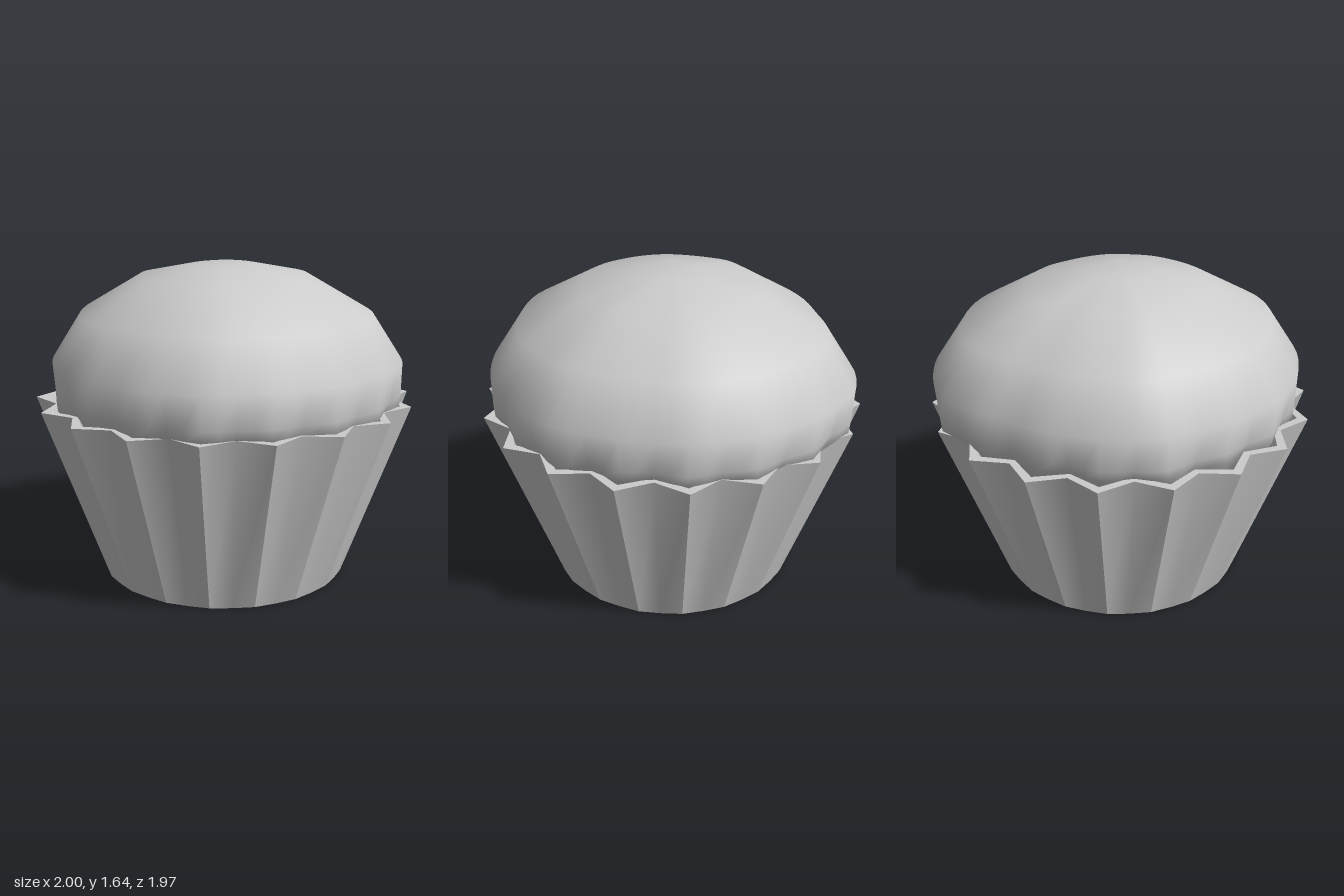
import * as THREE from 'three';
import { mergeGeometries } from 'three/addons/utils/BufferGeometryUtils.js';

const PLEATS = 18;
const RIM_Y = 0.945;

// Skins a list of equally long rings of points with smooth normals
function skin(rings, closed = true) {
  const n = rings[0].length;
  const index = [];
  for (let r = 0; r < rings.length - 1; r++) {
    for (let i = 0; i < (closed ? n : n - 1); i++) {
      const j = (i + 1) % n;
      const a = r * n + i, b = r * n + j, c = a + n, d = b + n;
      index.push(a, c, b, b, c, d);
    }
  }
  const geometry = new THREE.BufferGeometry().setFromPoints(rings.flat());
  geometry.setIndex(index);
  geometry.computeVertexNormals();
  return geometry;
}

const polar = (angle, r, y) => new THREE.Vector3(r * Math.cos(angle), y, r * Math.sin(angle));

// Zigzag ring: even points are pleat tips, odd points are valleys
function starRing(tip, valley, y) {
  return Array.from({ length: PLEATS * 2 }, (_, i) =>
    polar((i * Math.PI) / PLEATS, i % 2 ? valley : tip, y));
}

// Cuts a wall into one panel per pleat, so that tips are sharp and valleys soft
function pleatedWall(lower, upper) {
  const panels = [];
  for (let i = 0; i < PLEATS * 2; i += 2) {
    const cut = (ring) => [0, 1, 2].map((k) => ring[(i + k) % ring.length]);
    panels.push(skin([cut(lower), cut(upper)], false));
  }
  return mergeGeometries(panels);
}

export function createModel() {
  const model = new THREE.Group();
  const material = new THREE.MeshStandardMaterial({ color: 0xcccccc });
  const add = (parent, name, geometry) => {
    const mesh = new THREE.Mesh(geometry, material);
    mesh.name = name;
    parent.add(mesh);
  };

  // Paper cup with a thin rim
  const cup = new THREE.Group();
  cup.name = 'paperCup';
  model.add(cup);
  const base = starRing(0.66, 0.655, 0);
  const outer = starRing(1, 0.895, RIM_Y);
  const inner = starRing(0.945, 0.855, RIM_Y);
  const innerLow = starRing(0.86, 0.78, 0.72);
  add(cup, 'pleatedWall', pleatedWall(base, outer));
  add(cup, 'rim', skin([outer, inner]));
  add(cup, 'innerWall', pleatedWall(inner, innerLow));
  add(cup, 'cupBottom', skin([starRing(0, 0, 0), base]));

  // Uneven outline of the cake top, every 15 degrees from +x towards +z
  const radii = [
    0.945, 0.92, 0.93, 0.95, 0.94, 0.95, 0.94, 0.945, 0.96, 0.95, 0.93, 0.925,
    0.92, 0.9, 0.9, 0.93, 0.91, 0.9, 0.9, 0.95, 0.985, 0.97, 0.96, 0.955,
  ];
  const outline = new THREE.CatmullRomCurve3(
    radii.map((r, i) => polar((i * Math.PI) / 12, r, 0)), true);

  // Height, share of the outline, and how far the pleats press into the cake
  const profile = [
    [0.72, 0, 0], [0.74, 0.84, 0.02], [0.945, 0.965, 0.025], [1.0, 0.985, 0.012],
    [1.17, 1, 0], [1.4, 0.838, 0], [1.587, 0.49, 0], [1.645, 0.18, 0], [1.645, 0, 0],
  ];
  const SEGMENTS = 72;
  const rings = profile.map(([y, share, press]) =>
    Array.from({ length: SEGMENTS }, (_, i) => {
      const p = outline.getPoint(i / SEGMENTS);
      const angle = Math.atan2(p.z, p.x);
      const r = Math.hypot(p.x, p.z) * share + press * Math.cos(PLEATS * angle);
      return polar(angle, r, y);
    }));
  add(model, 'cakeTop', skin(rings));

  return model;
}
